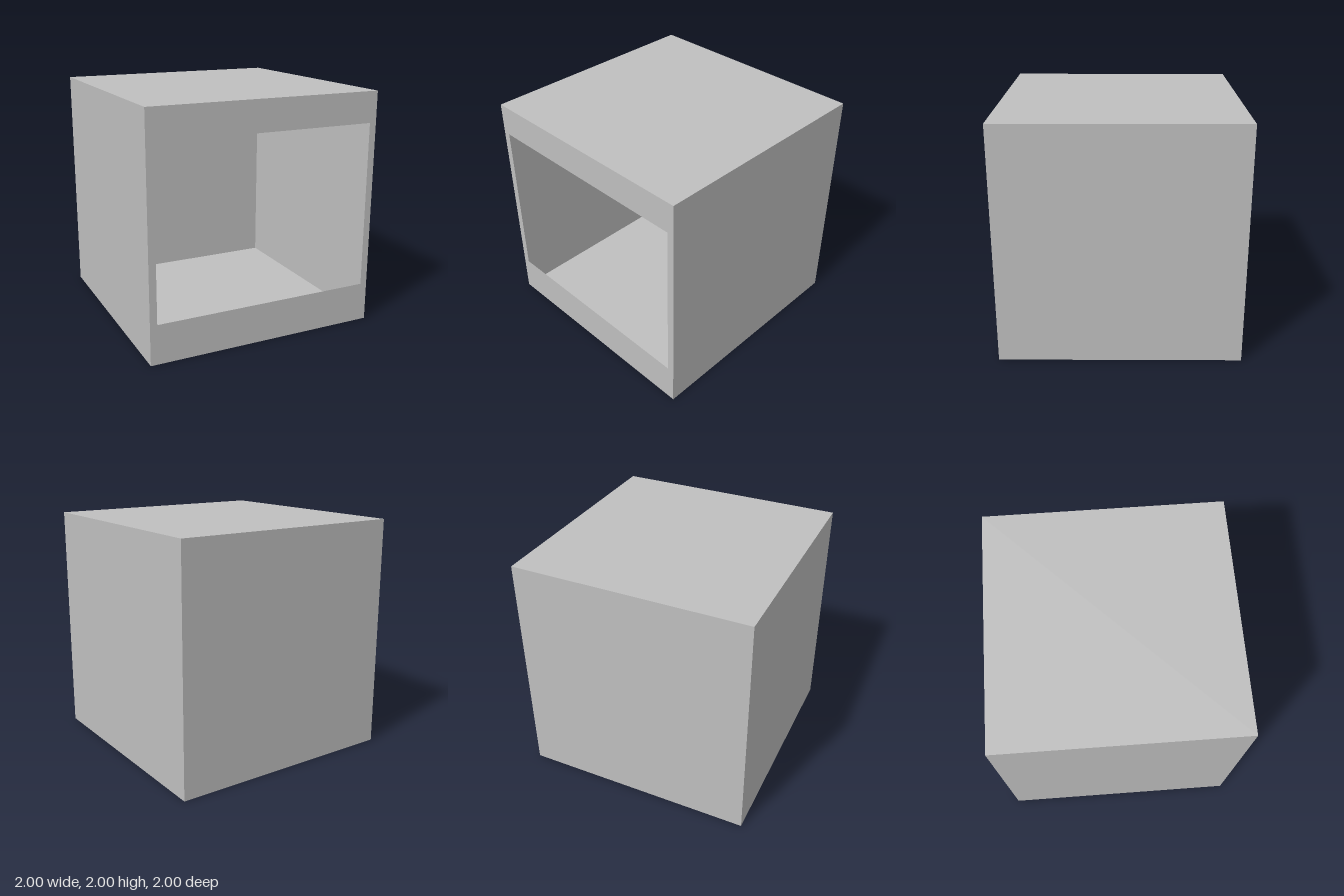
import * as THREE from 'three';

export function createModel() {
  const model = new THREE.Group();
  model.name = 'openFrontBox';

  const grey = new THREE.MeshStandardMaterial({ color: 0xbfbfbf, side: THREE.DoubleSide });
  grey.name = 'light grey';

  // One sheet of the shell, facing outwards
  const addPanel = (name, geometry, position, rotation = [0, 0, 0]) => {
    const mesh = new THREE.Mesh(geometry, grey);
    mesh.name = name;
    mesh.position.set(...position);
    mesh.rotation.set(...rotation);
    model.add(mesh);
  };

  // Five plain sheets: sides, back, top and floor
  const sheet = new THREE.PlaneGeometry(2, 2);
  const q = Math.PI / 2;
  addPanel('leftWall', sheet, [1, 1, 0], [0, q, 0]);
  addPanel('rightWall', sheet, [-1, 1, 0], [0, -q, 0]);
  addPanel('backWall', sheet, [0, 1, -1], [0, Math.PI, 0]);
  addPanel('roof', sheet, [0, 2, 0], [-q, 0, 0]);
  addPanel('floor', sheet, [0, 0, 0], [q, 0, 0]);

  // Front sheet with a wide rectangular opening
  const rectangle = (Type, x, y0, y1) => new Type([
    new THREE.Vector2(-x, y0), new THREE.Vector2(x, y0),
    new THREE.Vector2(x, y1), new THREE.Vector2(-x, y1),
  ]);
  const front = rectangle(THREE.Shape, 1, 0, 2);
  front.holes.push(rectangle(THREE.Path, 0.94, 0.333, 1.74));
  addPanel('frontFrame', new THREE.ShapeGeometry(front), [0, 0, 1]);

  return model;
}
